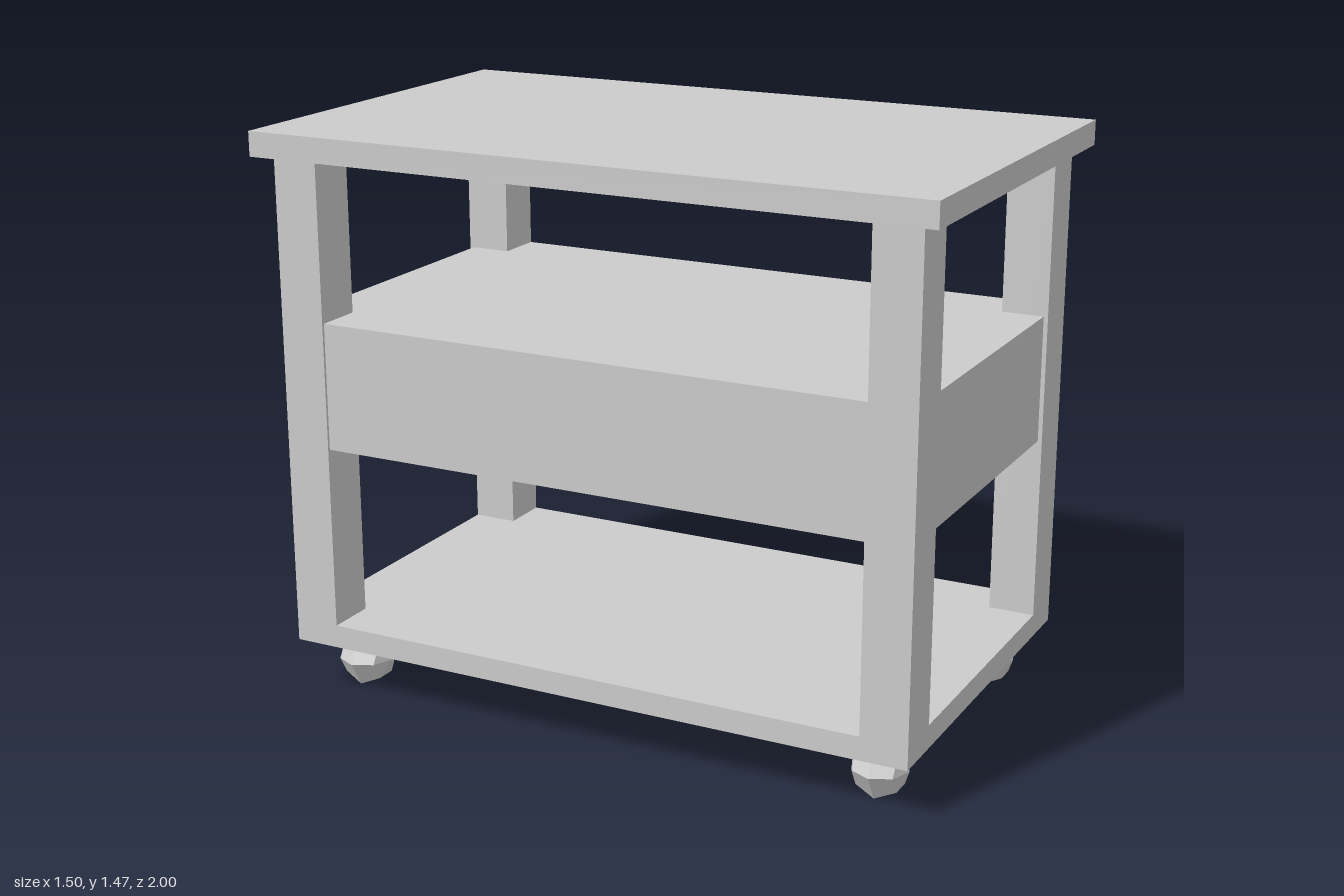
import * as THREE from 'three';

export function createModel() {
  const root = new THREE.Group();
  root.name = 'rollingCart';
  const mat = new THREE.MeshStandardMaterial({ color: 0xcccccc, flatShading: true });

  const halfX = 0.504, halfZ = 0.843; // footprint of the frame
  const legX = 0.13, legZ = 0.12, rim = 0.02;

  const add = (name, geometry, x, y, z) => {
    const mesh = new THREE.Mesh(geometry, mat);
    mesh.name = name;
    mesh.position.set(x, y, z);
    root.add(mesh);
  };
  // Slab between two heights
  const slab = (name, hx, hz, y0, y1, x = 0, z = 0) =>
    add(name, new THREE.BoxGeometry(hx * 2, y1 - y0, hz * 2), x, (y0 + y1) / 2, z);

  slab('tableTop', 0.54, 0.888, 1.407, 1.47);
  slab('middleBox', halfX - 0.004, halfZ - 0.011, 0.672, 0.998, 0.003);

  // Bottom shelf: a panel recessed from below inside a thin rim
  slab('bottomPanel', halfX - rim, halfZ - rim, 0.178, 0.2);
  for (const s of [1, -1]) {
    slab('sideRim', rim / 2, halfZ, 0.14, 0.2, s * (halfX - rim / 2));
    slab('endRim', halfX - rim, rim / 2, 0.14, 0.2, 0, s * (halfZ - rim / 2));
  }

  // Six-sided faceted wheel, axle along z
  const profile = [[0, -0.0725], [0.054, -0.052], [0.0785, 0], [0.054, 0.052], [0, 0.0725]]
    .map(([r, h]) => new THREE.Vector2(r, h));
  const wheel = new THREE.LatheGeometry(profile, 6, Math.PI / 2).rotateX(Math.PI / 2);

  // Legs, wheel mounts and wheels at the four corners
  const legGeometry = new THREE.BoxGeometry(legX, 1.208, legZ);
  for (const sz of [1, -1]) {
    for (const sx of [1, -1]) {
      const corner = (sz > 0 ? 'front' : 'back') + (sx > 0 ? 'Left' : 'Right');
      add(corner + 'Leg', legGeometry, sx * (halfX - legX / 2), 0.804, sz * (halfZ - legZ / 2));
      slab(corner + 'WheelMount', 0.035, 0.035, 0.125, 0.18, sx * 0.3675, sz * 0.724);
      add(corner + 'Wheel', wheel, sx * 0.3675, 0.068, sz * 0.724);
    }
  }

  // The whole cart stands turned by 15 degrees
  root.rotation.y = Math.PI / 12;
  return root;
}
